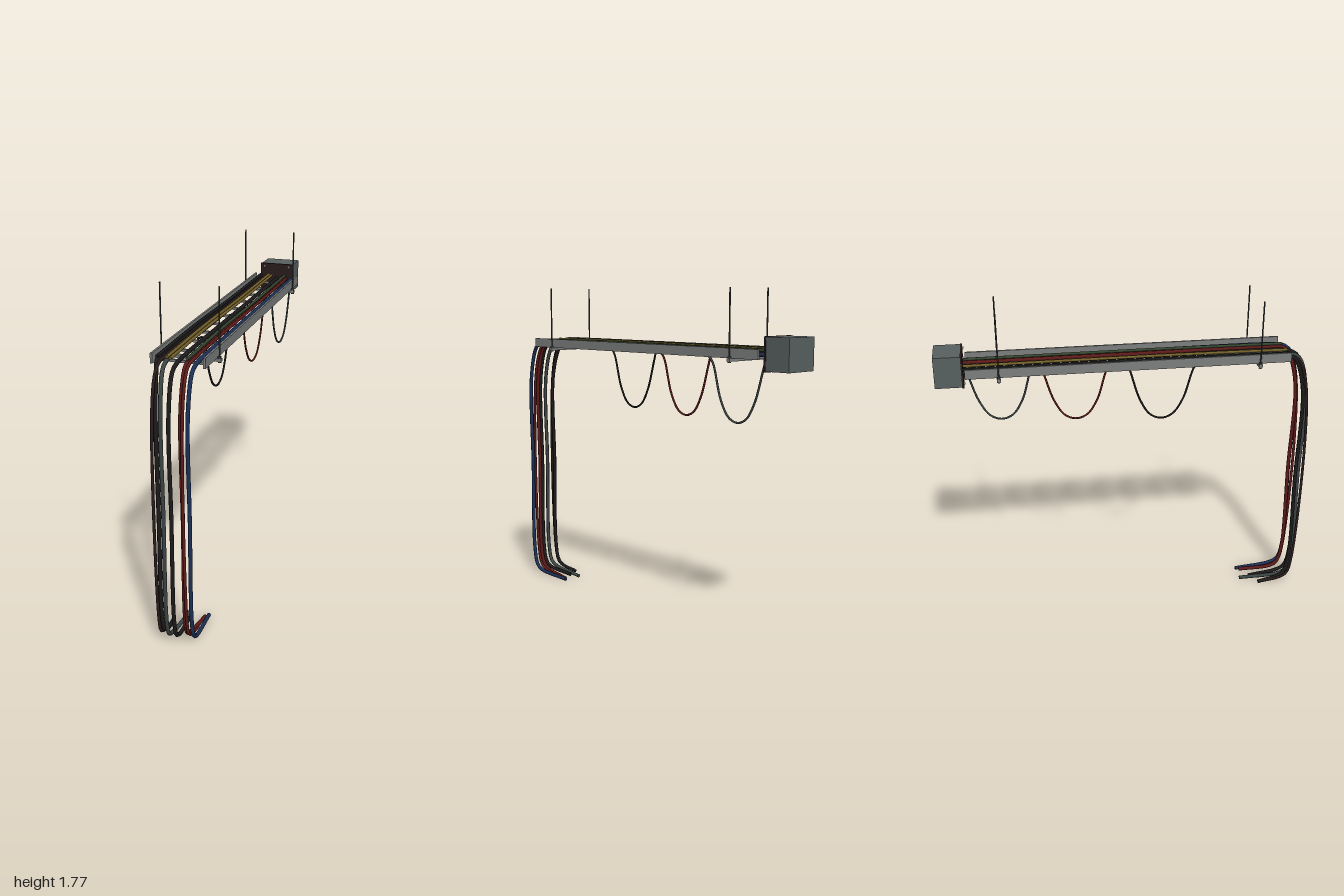
import * as THREE from 'three';

const mat = (name, color) => {
  const m = new THREE.MeshStandardMaterial({ color });
  m.name = name;
  return m;
};

export function createModel() {
  const root = new THREE.Group();
  root.name = 'cableTray';
  const steel = mat('galvanised steel', 0x7c7d7d);
  const rodMat = mat('dark rod', 0x3c3e40);
  const boxMat = mat('enclosure grey', 0x586060);
  const plateMat = mat('dark plate', 0x2a1c1c);
  const black = mat('black cable', 0x1c1a1a);
  const red = mat('red cable', 0x5c1a1a);
  const blue = mat('blue cable', 0x1c2f55);
  const yellow = mat('yellow cable', 0x73602a);
  const green = mat('green cable', 0x34452f);
  const grey = mat('grey cable', 0x3c4444);

  const add = (name, geo, m, x, y, z) => {
    const mesh = new THREE.Mesh(geo, m);
    mesh.name = name;
    mesh.position.set(x, y, z);
    root.add(mesh);
    return mesh;
  };
  const box = (name, m, w, h, d, x, y, z) => add(name, new THREE.BoxGeometry(w, h, d), m, x, y, z);

  // Cable along points, closed by a flat disc at each end
  const cable = (name, m, pts, r, segs = 64) => {
    const curve = new THREE.CatmullRomCurve3(pts.map(p => new THREE.Vector3(...p)), false, 'centripetal');
    add(name, new THREE.TubeGeometry(curve, segs, r, 8), m, 0, 0, 0);
    for (const t of [0, 1]) {
      const p = curve.getPointAt(t);
      const dir = curve.getTangentAt(t).multiplyScalar(t ? 1 : -1);
      const cap = add(name + 'End', new THREE.CircleGeometry(r, 8), m, p.x, p.y, p.z);
      cap.quaternion.setFromUnitVectors(new THREE.Vector3(0, 0, 1), dir);
    }
  };

  // Ladder tray: side rails and rungs
  for (const s of [-1, 1]) box('sideRail', steel, 0.011, 0.05, 1.705, s * 0.129, 1.454, 0.008);
  for (let i = 0; i < 11; i++) box('rung', steel, 0.25, 0.012, 0.014, 0, 1.436, -0.79 + i * 0.1595);

  // Trapeze hangers with threaded rods and nuts
  for (const z of [0.69, -0.675]) {
    box('hangerBar', steel, 0.31, 0.015, 0.02, 0, 1.421, z);
    for (const s of [-1, 1]) {
      add('hangerRod', new THREE.CylinderGeometry(0.004, 0.004, 0.355, 8), rodMat, s * 0.145, 1.5925, z);
      add('hangerNut', new THREE.CylinderGeometry(0.009, 0.009, 0.01, 6), rodMat, s * 0.145, 1.412, z);
      add('hangerNut', new THREE.CylinderGeometry(0.009, 0.009, 0.01, 6), rodMat, s * 0.145, 1.433, z);
    }
  }

  // Junction box with a dark entry plate, screws and cable glands
  box('junctionBox', boxMat, 0.194, 0.165, 0.138, 0, 1.455, -0.931);
  box('entryPlate', plateMat, 0.2, 0.172, 0.01, 0, 1.454, -0.857);
  for (const x of [-0.075, 0.075]) for (const y of [1.385, 1.525]) {
    const screw = add('plateScrew', new THREE.CylinderGeometry(0.006, 0.006, 0.008, 8), steel, x, y, -0.849);
    screw.rotation.x = Math.PI / 2;
  }

  // Lower cables: along the tray, over the end, down and back along the floor
  // [material, tray x, drop x, drop z, end x, end z]
  const drops = [
    [black, -0.1, -0.075, 0.957, -0.085, 0.78],
    [grey, -0.055, -0.04, 0.985, -0.028, 0.68],
    [black, 0, 0, 0.985, -0.012, 0.74],
    [red, 0.045, 0.045, 0.952, 0.062, 0.70],
    [blue, 0.09, 0.086, 0.968, 0.075, 0.68],
  ];
  for (const [m, x, dx, dz, ex, ez] of drops) {
    cable('droppingCable', m, [
      [x, 1.452, -0.855], [x, 1.452, 0], [x, 1.452, 0.8], [x, 1.447, 0.865],
      [(x + dx) / 2, 1.42, dz - 0.055], [dx, 1.24, dz], [dx, 0.7, dz], [dx, 0.17, dz],
      [dx, 0.06, dz - 0.025], [dx, 0.034, dz - 0.065], [ex, 0.014, ez],
    ], 0.0105, 110);
  }

  // Companion cables strapped beside the black and red drops
  for (const [m, x, dz] of [[plateMat, -0.085, 0.975], [red, 0.058, 0.962]]) {
    cable('companionCable', m, [
      [x, 1.45, -0.855], [x, 1.45, 0.8], [x, 1.445, 0.865], [x, 1.415, dz - 0.055],
      [x, 1.24, dz], [x, 0.17, dz], [x, 0.06, dz - 0.025], [x, 0.034, dz - 0.065], [x, 0.015, 0.8],
    ], 0.008, 110);
  }

  // Upper layer resting in the tray
  for (const [m, x, y] of [[yellow, -0.052, 1.471], [green, 0.047, 1.47], [black, -0.1, 1.47], [yellow, -0.035, 1.466]]) {
    cable('trayCable', m, [[x, y, -0.855], [x + 0.003, y, -0.2], [x - 0.002, y + 0.002, 0.3], [x, y - 0.003, 0.86]], 0.008, 30);
  }

  // Sagging loops below the tray: [material, centre z, front x, back x]
  const loops = [[black, 0.185, -0.05, -0.028], [red, -0.272, 0.005, 0.035], [grey, -0.67, 0.06, 0.085]];
  for (const [m, zc, xf, xb] of loops) {
    const profile = [[0.26, 1.436], [0.2, 1.425], [0.172, 1.395], [0.115, 1.215], [0.06, 1.13], [0, 1.107],
      [-0.06, 1.13], [-0.115, 1.215], [-0.165, 1.37], [-0.18, 1.42], [-0.186, 1.445]];
    cable('saggingCable', m, profile.map(([dz, y]) =>
      [xf + (xb - xf) * (0.26 - dz) / 0.446, y, zc + dz]), 0.0055);
  }
  return root;
}
